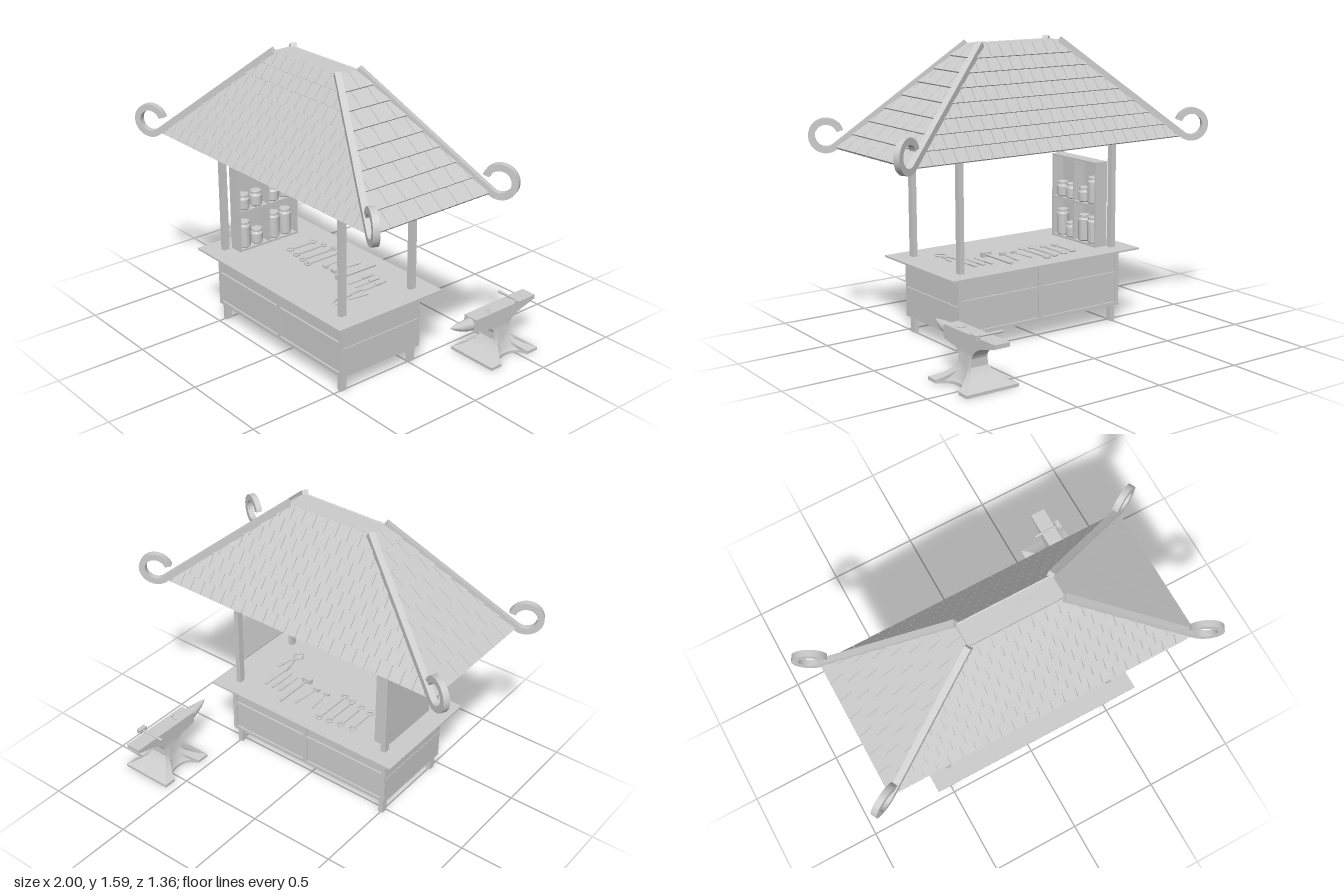
import * as THREE from 'three';
import { mergeGeometries, toCreasedNormals } from 'three/addons/utils/BufferGeometryUtils.js';

const mat = new THREE.MeshStandardMaterial({ color: 0xcccccc, side: THREE.DoubleSide });
const lerp = THREE.MathUtils.lerp;
const CZ = 0.2025; // depth centre of the stall

function add(parent, name, geo, x = 0, y = 0, z = 0) {
  const m = new THREE.Mesh(geo, mat);
  m.name = name;
  m.position.set(x, y, z);
  parent.add(m);
  return m;
}

// box given by its min and max on each axis
function box(parent, name, x0, x1, y0, y1, z0, z1) {
  return add(parent, name, new THREE.BoxGeometry(x1 - x0, y1 - y0, z1 - z0),
    (x0 + x1) / 2, (y0 + y1) / 2, (z0 + z1) / 2);
}

// skin over equal-length rings of [x,y,z], capped at both ends
function loft(rings) {
  const p = [], n = rings[0].length;
  const mid = r => [0, 1, 2].map(k => r.reduce((s, q) => s + q[k], 0) / n);
  const first = rings[0], last = rings[rings.length - 1], c0 = mid(first), c1 = mid(last);
  for (let i = 0; i < n; i++) {
    const j = (i + 1) % n;
    for (let k = 0; k < rings.length - 1; k++) {
      const a = rings[k], b = rings[k + 1];
      p.push(...a[i], ...a[j], ...b[j], ...a[i], ...b[j], ...b[i]);
    }
    p.push(...c0, ...first[j], ...first[i], ...c1, ...last[i], ...last[j]);
  }
  const g = new THREE.BufferGeometry();
  g.setAttribute('position', new THREE.Float32BufferAttribute(p, 3));
  g.computeVertexNormals();
  return g;
}

// one sloped roof face of lapped, staggered shingles, facing +z
function shingles(topHalf, botHalf, outTop, outBot, width) {
  const parts = [], rows = 8, rise = 0.54, run = outBot - outTop, len = Math.hypot(rise, run);
  const P = (u, k, t) => [u, lerp(1.57, 1.03, k) + t * run / len, lerp(outTop, outBot, k) + t * rise / len];
  for (let r = 0; r < rows; r++) {
    const k0 = r / rows, k1 = (r + 1) / rows;
    const w0 = lerp(topHalf, botHalf, k0), w1 = lerp(topHalf, botHalf, k1);
    const clip = (u, w) => Math.max(-w, Math.min(w, u));
    const n = Math.ceil(w1 / width) + 1;
    for (let i = -n; i < n; i++) {
      const u0 = (i + (r % 2) / 2) * width + 0.0015, u1 = u0 + width - 0.003;
      const a = clip(u0, w1), b = clip(u1, w1), c = clip(u1, w0), d = clip(u0, w0);
      if (b - a < 0.002) continue;
      const ring = (lo, hi) => [P(a, k1, lo), P(b, k1, lo), P(c, k0, hi), P(d, k0, hi)];
      parts.push(loft([ring(-0.006, -0.006), ring(0.01, 0.001)]));
    }
  }
  return mergeGeometries(parts);
}

// hip beam with a curled end, drawn in the plane of the hip
function hipBeam() {
  const pts = [[0, 1.573, 0.61, 0.79]], r = 0.075, t = 0.0175;
  for (let i = 0; i <= 28; i++) {
    const a = lerp(232, 522, i / 28) * Math.PI / 180;
    pts.push([0.74 + r * Math.cos(a), 1.098 + r * Math.sin(a), -Math.cos(a), -Math.sin(a)]);
  }
  const side = s => pts.map(([x, y, nx, ny]) => new THREE.Vector2(x + s * t * nx, y + s * t * ny));
  const shape = new THREE.Shape([...side(-1), ...side(1).reverse()]);
  const g = new THREE.ExtrudeGeometry(shape, { depth: 0.034, bevelEnabled: false });
  return toCreasedNormals(g.translate(0, 0, -0.017), 0.5);
}

function buildRoof(root) {
  const roof = new THREE.Group();
  roof.name = 'roof';
  roof.position.z = CZ;
  root.add(roof);
  const rect = (x, y, z) => [[x, y, z], [x, y, -z], [-x, y, -z], [-x, y, z]];
  add(roof, 'roofCore', loft([rect(0.868, 1.027, 0.38), rect(0.26, 1.567, 0.065)]));
  const long = shingles(0.26, 0.87, 0.065, 0.3825, 0.072);
  const short = shingles(0.065, 0.3825, 0.26, 0.87, 0.105);
  for (let i = 0; i < 4; i++) add(roof, 'shingles', i % 2 ? short : long).rotation.y = i * Math.PI / 2;
  const beam = hipBeam();
  for (const sx of [-1, 1]) for (const sz of [-1, 1])
    add(roof, 'hipBeam', beam, 0.255 * sx, 0, 0.065 * sz).rotation.y = Math.atan2(-0.465 * sz, 0.886 * sx);
}

function buildCounter(root) {
  const g = new THREE.Group();
  g.name = 'counter';
  root.add(g);
  for (const x of [-0.5, 0.496]) for (const z of [-0.02, 0.442])
    box(g, 'post', x - 0.014, x + 0.014, 0, 1.035, z - 0.018, z + 0.018);
  box(g, 'cabinet', -0.522, 0.522, 0.095, 0.416, -0.043, 0.462);
  box(g, 'counterTop', -0.61, 0.61, 0.413, 0.423, -0.13, 0.55);
  // raised frames on both long sides
  for (const [z0, z1] of [[-0.053, -0.042], [0.461, 0.472]]) {
    for (const [y0, y1] of [[0.092, 0.112], [0.262, 0.284], [0.392, 0.415]])
      box(g, 'rail', -0.53, 0.53, y0, y1, z0, z1);
    for (const x of [-0.518, 0.01, 0.518]) box(g, 'stile', x - 0.012, x + 0.012, 0.092, 0.415, z0, z1);
  }
  // two planks on each end
  for (const s of [-1, 1]) for (const [y0, y1] of [[0.092, 0.254], [0.258, 0.414]])
    box(g, 'endPlank', s * 0.526 - 0.005, s * 0.526 + 0.005, y0, y1, -0.05, 0.47);
}

function buildShelf(root) {
  const g = new THREE.Group();
  g.name = 'shelf';
  root.add(g);
  box(g, 'shelfBack', -0.492, -0.484, 0.42, 0.9, 0.01, 0.405);
  for (const z of [0.016, 0.207, 0.399]) box(g, 'shelfUpright', -0.49, -0.412, 0.42, 0.9, z - 0.006, z + 0.006);
  for (const y of [0.429, 0.652, 0.894]) box(g, 'shelfBoard', -0.49, -0.412, y - 0.006, y + 0.006, 0.01, 0.405);
  // jars: z, base, height
  const jars = [[0.35, 0.435, 0.15], [0.267, 0.435, 0.085], [0.153, 0.435, 0.15], [0.072, 0.435, 0.15],
    [0.35, 0.658, 0.087], [0.267, 0.658, 0.087], [0.153, 0.658, 0.083], [0.072, 0.658, 0.152]];
  for (const [z, y, h] of jars) {
    const prof = [[0, 0], [0.029, 0], [0.034, 0.006], [0.034, h - 0.028], [0.026, h - 0.017],
      [0.026, h - 0.014], [0.03, h - 0.013], [0.03, h - 0.002], [0.028, h], [0, h]];
    const geo = new THREE.LatheGeometry(prof.map(q => new THREE.Vector2(...q)), 20);
    add(g, 'jar', toCreasedNormals(geo, 0.6), -0.448, y, z);
  }
}

function hammer(parent, x, y, z, len, size, turn) {
  const g = new THREE.Group();
  g.name = 'hammer';
  g.position.set(x, y, z);
  g.rotation.y = turn;
  const handle = add(g, 'hammerHandle', new THREE.CylinderGeometry(size * 0.24, size * 0.32, len, 10), 0, size / 2, -len / 2);
  handle.rotation.x = Math.PI / 2;
  add(g, 'hammerHead', new THREE.BoxGeometry(size * 2.1, size, size), 0, size / 2, 0);
  parent.add(g);
}

function buildTools(root) {
  const g = new THREE.Group();
  g.name = 'tools';
  root.add(g);
  const top = 0.423;
  // ring-ended wrenches
  [-0.26, -0.19, -0.12, -0.06].forEach((x, i) => {
    const h = 0.07 + 0.012 * i;
    box(g, 'wrenchShaft', x - 0.007, x + 0.007, top, top + 0.008, 0.1 - h, 0.1 + h);
    for (const s of [-1, 1])
      add(g, 'wrenchEnd', new THREE.TorusGeometry(0.015, 0.006, 6, 16), x, top + 0.006, 0.1 + s * (h + 0.01)).rotation.x = Math.PI / 2;
  });
  hammer(g, 0.03, top, 0.17, 0.15, 0.015, 0.1);
  hammer(g, 0.1, top, 0.17, 0.17, 0.018, -0.1);
  hammer(g, 0.19, top, 0.2, 0.24, 0.027, 0);
  // chisels
  for (const x of [0.26, 0.31, 0.36]) {
    box(g, 'chiselBlade', x - 0.006, x + 0.006, top, top + 0.006, 0.1, 0.2);
    add(g, 'chiselGrip', new THREE.CylinderGeometry(0.008, 0.006, 0.07, 10), x, top + 0.006, 0.07).rotation.x = Math.PI / 2;
  }
  // tongs
  for (const s of [-1, 1]) {
    const c = new THREE.CatmullRomCurve3([[0.03, -0.12], [0.012, -0.02], [0, 0], [-0.028, 0.035], [-0.004, 0.075]]
      .map(([x, z]) => new THREE.Vector3(s * x, 0, z)));
    add(g, 'tongs', new THREE.TubeGeometry(c, 20, 0.005, 6), 0.38, top + 0.005, 0.32);
  }
}

function buildAnvil(root) {
  const g = new THREE.Group();
  g.name = 'anvil';
  g.position.set(0.702, 0, -0.44);
  root.add(g);
  // flared foot with scooped sides: y, half width, half depth, scoop
  const foot = [[0, 0.15, 0.172, 0.068], [0.016, 0.15, 0.172, 0.068], [0.028, 0.122, 0.145, 0.05], [0.045, 0.096, 0.112, 0.03],
    [0.07, 0.067, 0.078, 0.012], [0.1, 0.05, 0.058, 0], [0.17, 0.043, 0.056, 0]];
  const ring = ([y, hx, hz, scoop]) => {
    const half = [[hx, y, hz]];
    for (let i = 0; i <= 10; i++) {
      const c = 1 - i / 5;
      half.push([hx - scoop * Math.sqrt(Math.max(0, 1 - c * c)), y, -c * -0.58 * hz]);
    }
    half.push([hx, y, -hz]);
    return [...half, ...half.map(([x, yy, z]) => [-x, yy, -z])];
  };
  add(g, 'anvilFoot', toCreasedNormals(loft(foot.map(ring)), 0.5));
  // body cut from a side profile (z, y)
  const s = new THREE.Shape();
  s.moveTo(0.19, 0.258);
  s.lineTo(-0.25, 0.262);
  s.lineTo(-0.25, 0.24);
  s.lineTo(-0.17, 0.22);
  s.quadraticCurveTo(-0.06, 0.195, -0.055, 0.13);
  s.lineTo(0.055, 0.13);
  s.quadraticCurveTo(0.06, 0.168, 0.1, 0.172);
  s.lineTo(0.19, 0.187);
  s.closePath();
  const body = new THREE.ExtrudeGeometry(s, { depth: 0.088, bevelEnabled: false, curveSegments: 10 });
  add(g, 'anvilBody', toCreasedNormals(body.rotateY(-Math.PI / 2).translate(0.044, 0, 0), 0.5));
  // horn tapering forward with its top nearly level: z, radius
  const horn = [[0.18, 0.035], [0.22, 0.032], [0.265, 0.024], [0.305, 0.013], [0.328, 0.004]].map(([z, r]) =>
    Array.from({ length: 16 }, (_, i) => {
      const a = i * Math.PI / 8;
      return [r * Math.cos(a), 0.245 - r * 0.75 + r * Math.sin(a), z];
    }));
  add(g, 'anvilHorn', toCreasedNormals(loft(horn), 0.7));
  // nails and a hammer resting on the face
  for (let i = 0; i < 3; i++) {
    const nail = add(g, 'nail', new THREE.CylinderGeometry(0.002, 0.002, 0.045, 6), 0.012 * i - 0.005, 0.263, 0.07 + 0.008 * i);
    nail.rotation.set(Math.PI / 2, 0, 0.6 + i);
  }
  hammer(g, 0.062, 0.26, -0.115, 0.155, 0.025, Math.PI / 2);
}

export function createModel() {
  const root = new THREE.Group();
  root.name = 'smithStall';
  buildRoof(root);
  buildCounter(root);
  buildShelf(root);
  buildTools(root);
  buildAnvil(root);
  return root;
}
